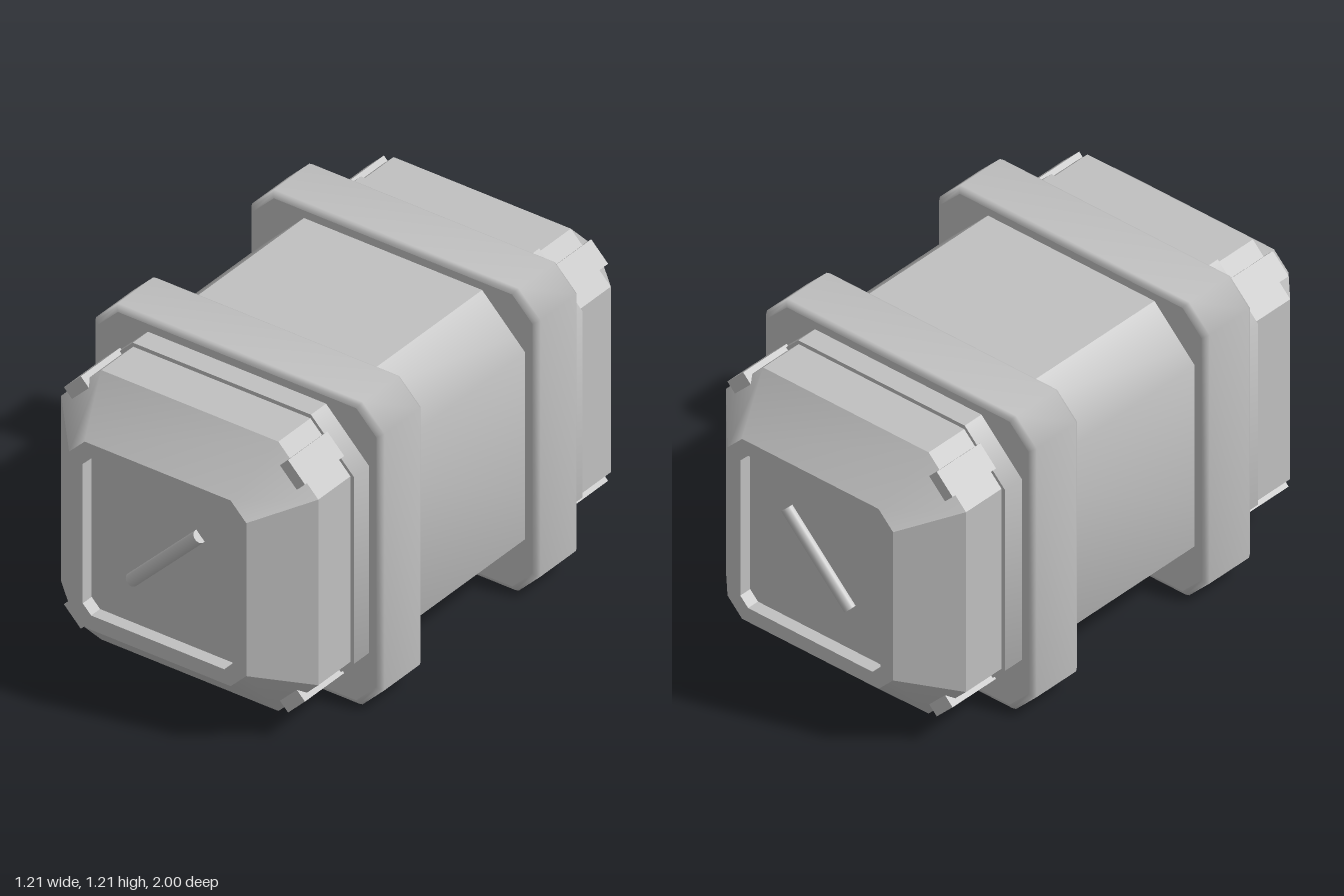
import * as THREE from 'three';

const CENTRE_Y = 0.603;

// Chamfered square, counter-clockwise, starting with the right edge
function octagon(half, chamfer) {
  const k = half - chamfer;
  return [[half, -k], [half, k], [k, half], [-k, half], [-half, k], [-half, -k], [-k, -half], [k, -half]];
}

// Skin between octagons [z, half, chamfer]; each strip [firstEdge, edgeCount] is smooth inside
function loft(sections, strips) {
  const pos = [], index = [];
  for (const [first, count] of strips) {
    const base = pos.length / 3, closed = count === 8, cols = closed ? 8 : count + 1;
    for (const [z, half, chamfer] of sections) {
      const ring = octagon(half, chamfer);
      for (let i = 0; i < cols; i++) pos.push(...ring[(first + i) % 8], z);
    }
    for (let s = 0; s < sections.length - 1; s++) {
      for (let i = 0; i < count; i++) {
        const j = (i + 1) % cols;
        const a = base + s * cols + i, b = base + s * cols + j;
        index.push(a, b, b + cols, a, b + cols, a + cols);
      }
    }
  }
  const geo = new THREE.BufferGeometry();
  geo.setAttribute('position', new THREE.Float32BufferAttribute(pos, 3));
  geo.setIndex(index);
  geo.computeVertexNormals();
  return geo;
}

const ALL_SMOOTH = [[0, 8]];
const ALL_SHARP = [0, 1, 2, 3, 4, 5, 6, 7].map((i) => [i, 1]);
const SIDES_SMOOTH = [[7, 3], [2, 1], [3, 3], [6, 1]];
const TOP_SMOOTH = [[0, 1], [1, 3], [4, 1], [5, 3]];

// Flat octagonal plate facing +z (or -z), optionally with an octagonal hole
function plate(half, chamfer, z, back = false, hole = null) {
  const toPoints = (p) => p.map(([x, y]) => new THREE.Vector2(x, y));
  const shape = new THREE.Shape(toPoints(octagon(half, chamfer)));
  if (hole) shape.holes.push(new THREE.Path(toPoints(octagon(...hole))));
  const geo = new THREE.ShapeGeometry(shape);
  if (back) geo.rotateY(Math.PI);
  return geo.translate(0, 0, z);
}

export function createModel() {
  const metal = new THREE.MeshStandardMaterial({ color: 0xc0c0c0 });
  metal.name = 'grey metal';

  const model = new THREE.Group();
  model.name = 'container';
  const add = (parent, name, geo) => {
    const mesh = new THREE.Mesh(geo, metal);
    mesh.name = name;
    parent.add(mesh);
    return mesh;
  };
  const core = new THREE.Group();
  core.name = 'core';
  core.position.y = CENTRE_Y;
  model.add(core);

  // Main body
  add(core, 'body', loft([[-0.64, 0.552, 0.18], [0.64, 0.552, 0.18]], SIDES_SMOOTH));

  for (const side of [1, -1]) {
    const end = new THREE.Group();
    end.name = side > 0 ? 'frontEnd' : 'backEnd';
    if (side < 0) end.rotation.y = Math.PI;
    core.add(end);

    // Step at the end of the body
    add(end, 'bodyRim', plate(0.552, 0.18, 0.64));

    // Raised band with softened edges
    add(end, 'band', loft([[0.32, 0.582, 0.084], [0.325, 0.595, 0.089], [0.338, 0.603, 0.092],
      [0.537, 0.603, 0.092], [0.55, 0.595, 0.089], [0.555, 0.582, 0.084]], ALL_SMOOTH));
    add(end, 'bandFront', plate(0.582, 0.084, 0.555));
    add(end, 'bandBack', plate(0.582, 0.084, 0.32, true));

    // Cap: straight collar, sloped shoulder, flat face with a recess
    add(end, 'collar', loft([[0.63, 0.537, 0.167], [0.82, 0.537, 0.167]], ALL_SHARP));
    add(end, 'shoulder', loft([[0.82, 0.537, 0.167], [1, 0.37, 0.065]], TOP_SMOOTH));
    add(end, 'face', plate(0.37, 0.065, 1, false, [0.313, 0.035]));
    add(end, 'recessWall', loft([[1, 0.313, 0.035], [0.95, 0.313, 0.035]], ALL_SHARP));
    add(end, 'recessFloor', plate(0.313, 0.035, 0.95));

    // Diagonal bar in the recess
    const bar = add(end, 'handleBar', new THREE.CylinderGeometry(0.025, 0.025, 0.4, 20));
    bar.position.z = 0.955;
    bar.rotation.z = -side * Math.PI / 4;

    // Clips on the four corners
    for (let i = 0; i < 4; i++) {
      const angle = Math.PI / 4 + i * Math.PI / 2;
      const clip = add(end, 'cornerClip', new THREE.BoxGeometry(0.05, 0.1, 0.22));
      clip.position.set(Math.cos(angle) * 0.637, Math.sin(angle) * 0.637, 0.74);
      clip.rotation.z = angle;
    }
  }
  return model;
}
